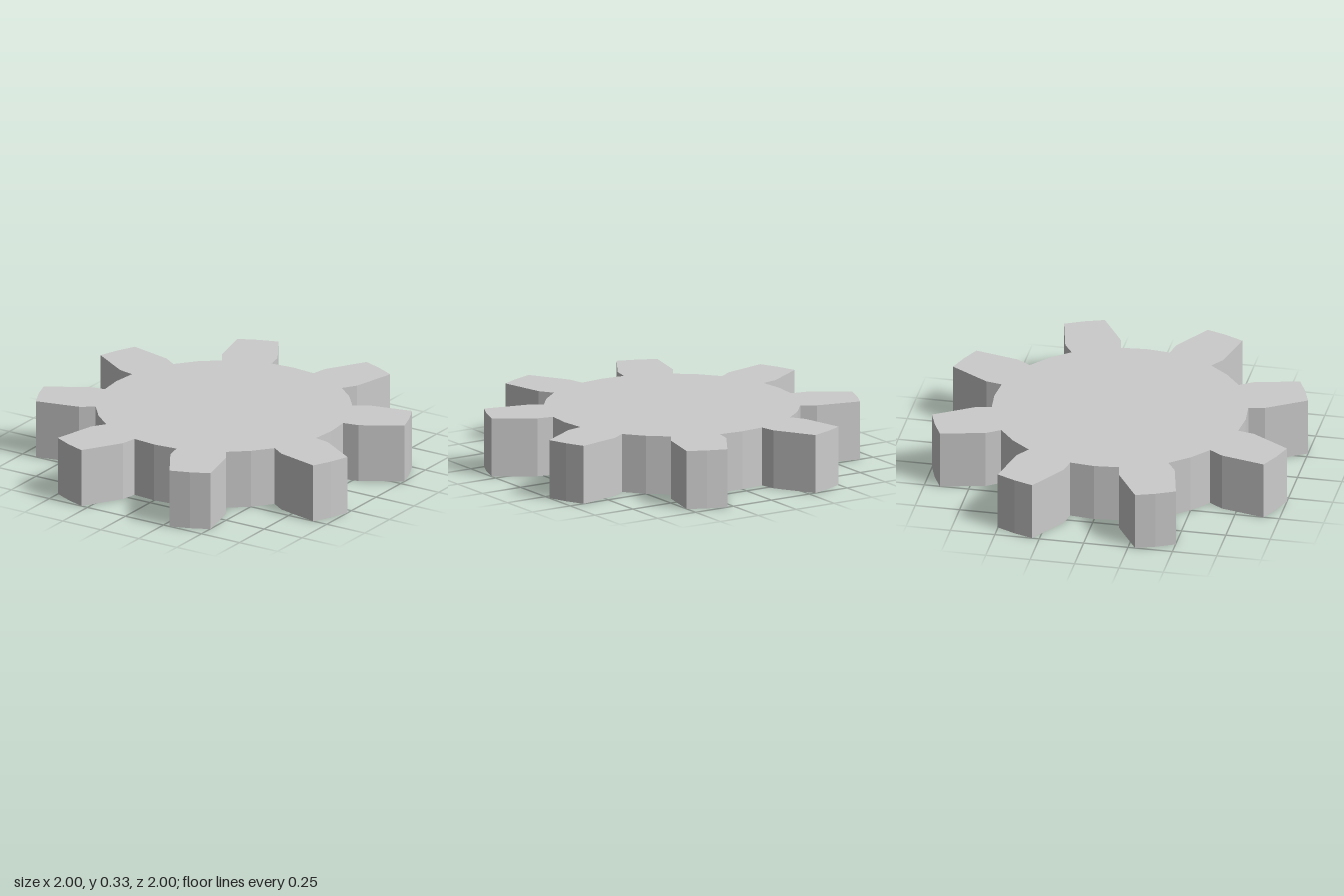
import * as THREE from 'three';

const TEETH = 8;
const HEIGHT = 0.33;

// One tooth pitch: [radius, angle from the tooth centre in degrees]
const TOOTH = [
  [0.708, -22.5],  // middle of the valley
  [0.708, -11.25], // root
  [0.8, -11.25],   // shoulder
  [1.041, -6.33],  // tip corner
  [1.041, 0],      // tip middle
  [1.041, 6.33],
  [0.8, 11.25],
  [0.708, 11.25],
];

export function createModel() {
  const group = new THREE.Group();
  group.name = 'gear';

  // Outline: the tooth repeated around the disc
  const outline = [];
  for (let i = 0; i < TEETH; i++) {
    for (const [radius, degrees] of TOOTH) {
      const angle = THREE.MathUtils.degToRad((i + 0.5) * 360 / TEETH + degrees);
      outline.push(new THREE.Vector2(radius * Math.cos(angle), radius * Math.sin(angle)));
    }
  }

  // Solid gear, laid flat on the ground
  const geometry = new THREE.ExtrudeGeometry(new THREE.Shape(outline), {
    depth: HEIGHT,
    bevelEnabled: false,
  });
  geometry.rotateX(-Math.PI / 2);

  const material = new THREE.MeshStandardMaterial({ color: 0xcccccc, flatShading: true });
  const gear = new THREE.Mesh(geometry, material);
  gear.name = 'gearWheel';
  group.add(gear);
  return group;
}
